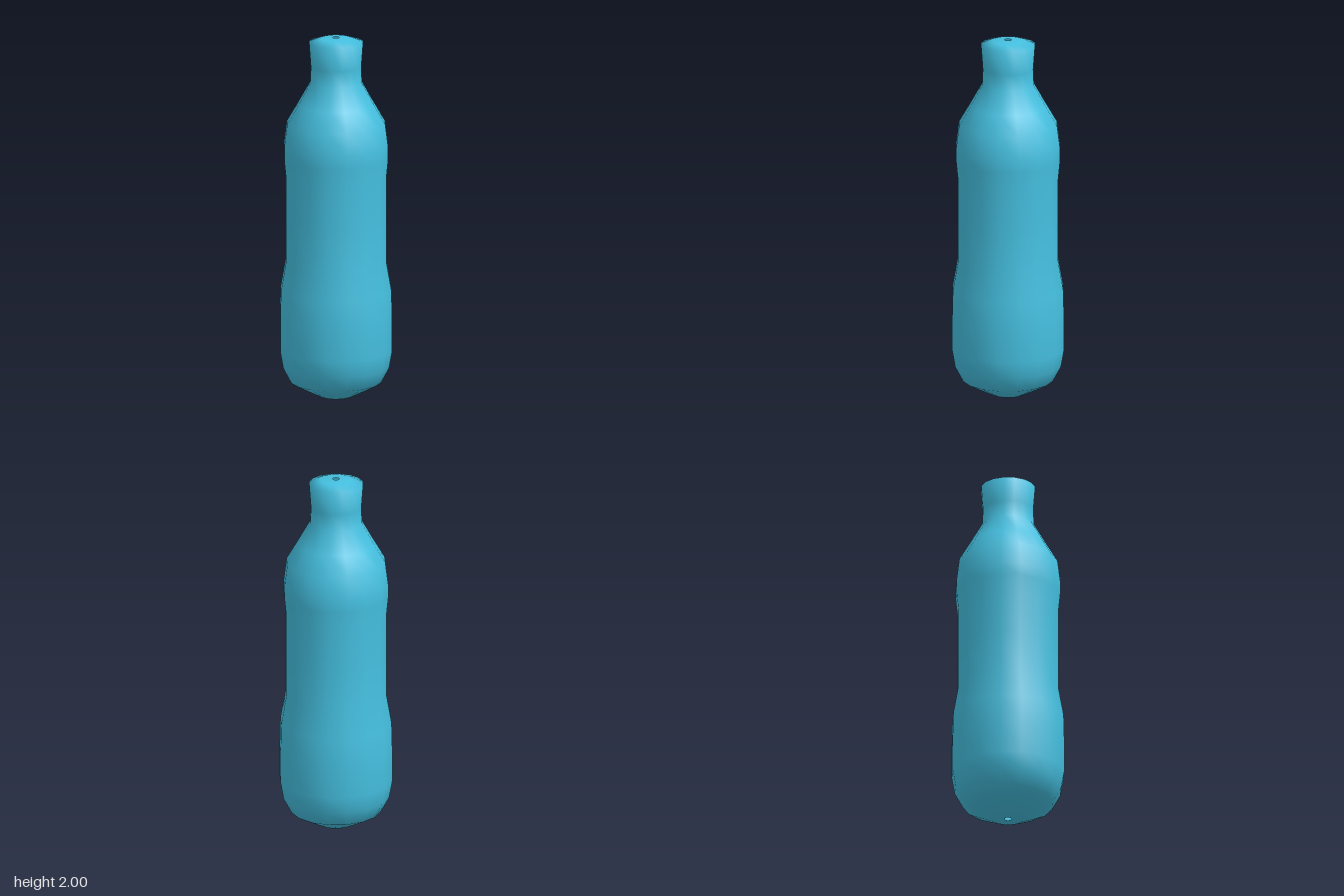
import * as THREE from 'three';

export function createModel() {
  const group = new THREE.Group();
  group.name = 'bottle';

  const material = new THREE.MeshStandardMaterial({ color: 0x45c0e0, side: THREE.DoubleSide });

  // Silhouette as [radius, height], from the hole in the base to the hole in the cap
  const profile = [
    [0.018, 0], [0.09, 0.005], [0.18, 0.05], [0.247, 0.085], [0.292, 0.17], // rounded base
    [0.309, 0.265], [0.309, 0.44], [0.305, 0.6],                            // lower body
    [0.277, 0.76], [0.277, 1.0], [0.277, 1.23],                             // grip
    [0.287, 1.33], [0.287, 1.4], [0.271, 1.525],                            // upper body
    [0.21, 1.63], [0.143, 1.75],                                            // shoulder
    [0.139, 1.84], [0.149, 1.975], [0.085, 1.995], [0.018, 2],              // neck and cap
  ].map(([r, y]) => new THREE.Vector2(r, y));

  // Sixteen-sided, smoothly shaded shell, open at both small holes
  const shell = new THREE.Mesh(new THREE.LatheGeometry(profile, 16), material);
  shell.name = 'bottleShell';
  group.add(shell);

  return group;
}
